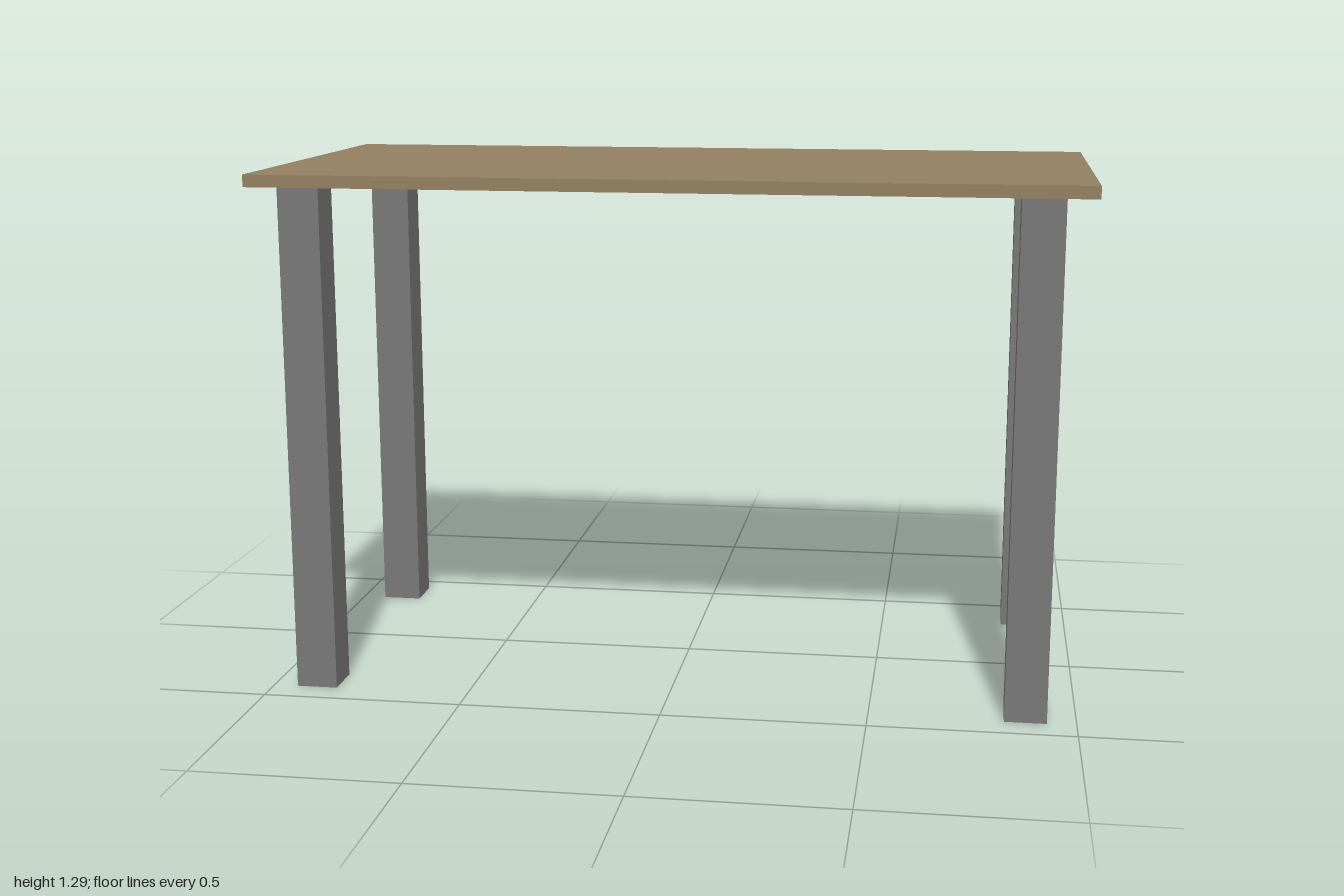
import * as THREE from 'three';

const TOP_Y = 1.295, TOP_THICKNESS = 0.03, LEG_WIDTH = 0.102;
const LEG_HEIGHT = TOP_Y - TOP_THICKNESS;

export function createModel() {
  const table = new THREE.Group();
  table.name = 'table';
  const wood = new THREE.MeshStandardMaterial({ color: 0x928061 });
  const metal = new THREE.MeshStandardMaterial({ color: 0x787878 });

  // Thin rectangular slab
  const top = new THREE.Mesh(new THREE.BoxGeometry(2, TOP_THICKNESS, 0.976), wood);
  top.name = 'tableTop';
  top.position.y = TOP_Y - TOP_THICKNESS / 2;
  table.add(top);

  // Four square legs, set very slightly off centre under the top
  const legGeometry = new THREE.BoxGeometry(LEG_WIDTH, LEG_HEIGHT, LEG_WIDTH);
  for (const [side, x] of [['Left', 0.878], ['Right', -0.888]]) {
    for (const [end, z] of [['front', 0.375], ['back', -0.382]]) {
      const leg = new THREE.Mesh(legGeometry, metal);
      leg.name = `${end}${side}Leg`;
      leg.position.set(x, LEG_HEIGHT / 2, z);
      table.add(leg);
    }
  }
  return table;
}
